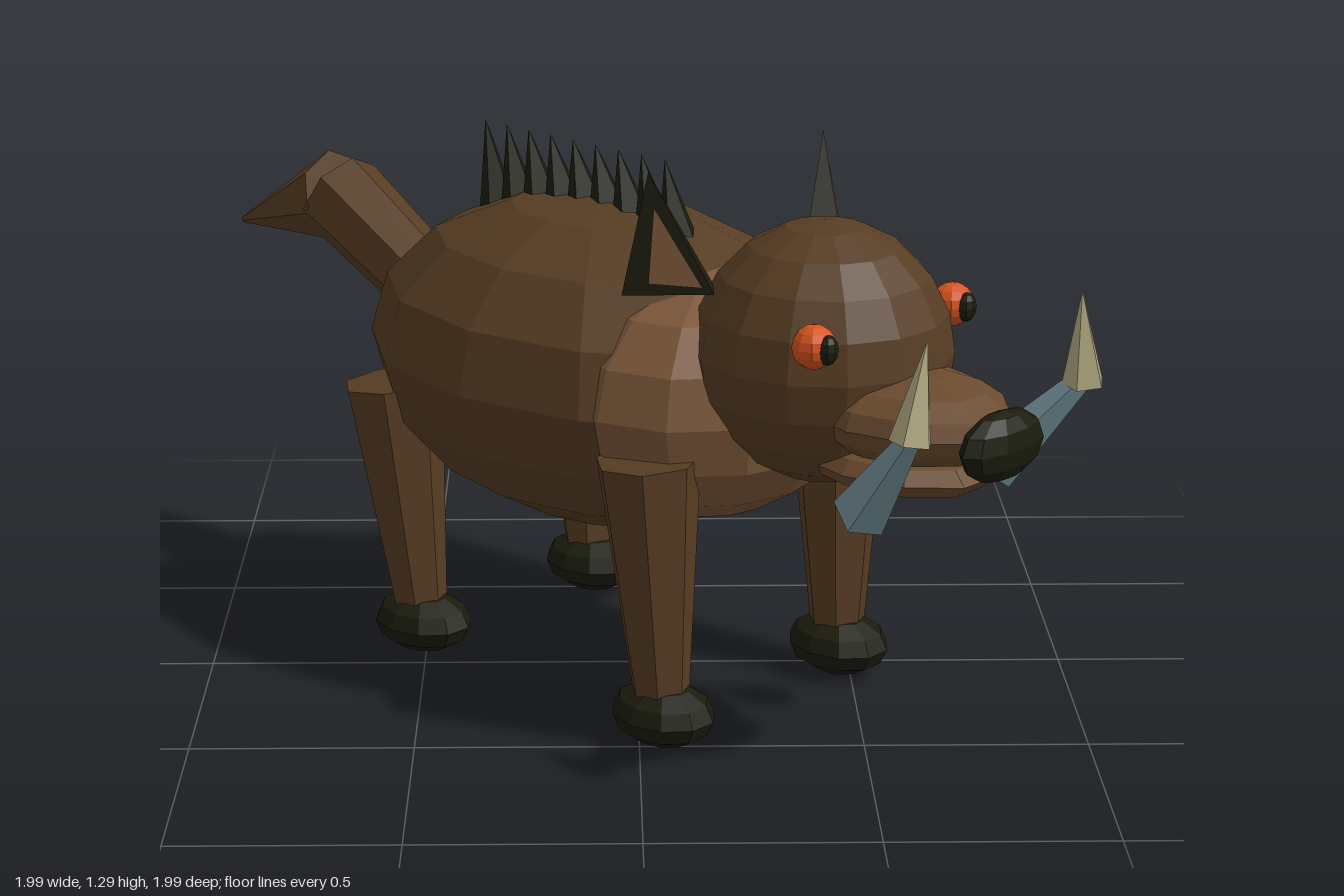
import * as THREE from 'three';

const mat = (name, color, side = THREE.FrontSide) => {
  const m = new THREE.MeshStandardMaterial({ color, flatShading: true, side });
  m.name = name;
  return m;
};
const M = {
  hide: mat('brown hide', 0x573d23),
  snout: mat('snout brown', 0x6b4b2e),
  pale: mat('pale brown', 0x7c583a, THREE.DoubleSide),
  dark: mat('dark bristle', 0x1b1c0d, THREE.DoubleSide),
  eye: mat('orange eye', 0xd9531f),
  tusk: mat('blue grey tusk', 0x7897a0),
  tip: mat('ivory tip', 0xb5ad84),
};

export function createModel() {
  const root = new THREE.Group();
  const boar = new THREE.Group();
  boar.name = 'boar';
  boar.rotation.y = Math.PI / 4; // the animal looks diagonally
  root.add(boar);

  const add = (name, geo, material) => {
    const mesh = new THREE.Mesh(geo, material);
    mesh.name = name;
    boar.add(mesh);
    return mesh;
  };
  // Faceted ellipsoid
  const blob = (name, material, pos, radii, w = 12, h = 8) => {
    const mesh = add(name, new THREE.SphereGeometry(1, w, h), material);
    mesh.position.set(...pos);
    mesh.scale.set(...radii);
    return mesh;
  };
  // Tapered prism from point a to point b
  const limb = (name, material, a, b, ra, rb, sides = 7) => {
    const p = new THREE.Vector3(...a), q = new THREE.Vector3(...b);
    const dir = q.clone().sub(p);
    const mesh = add(name, new THREE.CylinderGeometry(rb, ra, dir.length(), sides), material);
    mesh.position.copy(p).add(q).multiplyScalar(0.5);
    mesh.quaternion.setFromUnitVectors(new THREE.Vector3(0, 1, 0), dir.normalize());
    return mesh;
  };
  const faces = (points, index) => {
    const g = new THREE.BufferGeometry();
    g.setAttribute('position', new THREE.Float32BufferAttribute(points.flat(), 3));
    g.setIndex(index);
    const flat = g.toNonIndexed();
    flat.computeVertexNormals();
    return flat;
  };

  // Trunk and head
  blob('body', M.hide, [0, 0.745, -0.11], [0.455, 0.38, 0.635], 12, 8);
  blob('chest', M.pale, [0, 0.75, 0.25], [0.38, 0.29, 0.32], 12, 8);
  blob('head', M.hide, [0, 0.9, 0.566], [0.285, 0.29, 0.285], 14, 10);
  blob('snout', M.snout, [0, 0.81, 0.8], [0.195, 0.1, 0.27], 10, 8);
  blob('jaw', M.snout, [0, 0.7, 0.77], [0.17, 0.06, 0.25], 10, 6);
  blob('nose', M.dark, [0, 0.795, 1.06], [0.13, 0.077, 0.05], 10, 6);

  // Tail
  limb('tailBase', M.hide, [0, 0.73, -0.58], [0, 0.97, -1.03], 0.09, 0.112, 7);
  limb('tailTip', M.hide, [0, 0.965, -1.03], [0, 0.835, -1.41], 0.115, 0.008, 7);

  // Bristles along the spine, leaning back
  for (let i = 0; i < 9; i++) {
    const z = -0.45 + i * 0.073;
    const base = 0.745 + 0.38 * Math.sqrt(1 - ((z + 0.11) / 0.635) ** 2) - 0.04;
    limb('bristle', M.dark, [0, base, z], [0, 1.24, z - 0.045], 0.05, 0.001, 5);
  }

  for (const s of [-1, 1]) {
    const side = s > 0 ? 'left' : 'right';

    // Legs and hooves
    limb(side + 'FrontLeg', M.hide, [s * 0.297, 0.08, 0.368], [s * 0.315, 0.67, 0.34], 0.06, 0.118);
    limb(side + 'HindLeg', M.hide, [s * 0.285, 0.08, -0.436], [s * 0.315, 0.67, -0.49], 0.06, 0.118);
    blob(side + 'FrontHoof', M.dark, [s * 0.297, 0.08, 0.372], [0.105, 0.071, 0.128], 10, 6);
    blob(side + 'HindHoof', M.dark, [s * 0.285, 0.08, -0.432], [0.105, 0.071, 0.128], 10, 6);

    // Eyes
    blob(side + 'Eye', M.eye, [s * 0.228, 0.99, 0.737], [0.048, 0.048, 0.048], 10, 8);
    blob(side + 'Pupil', M.dark, [s * 0.228, 0.99, 0.776], [0.025, 0.033, 0.02], 8, 6);

    // Tusks
    limb(side + 'Tusk', M.tusk, [s * 0.219, 0.655, 0.87], [s * 0.288, 0.88, 1.055], 0.064, 0.024, 5);
    limb(side + 'TuskTip', M.tip, [s * 0.288, 0.865, 1.053], [s * 0.257, 1.075, 1.062], 0.047, 0.001, 5);

    // Ears: dark pyramid with a pale inset facing forward and outward
    const outer = [s * 0.33, 1.03, 0.276], back = [s * 0.148, 1.04, 0.375];
    const front = [s * 0.212, 1.04, 0.438], top = [s * 0.283, 1.3, 0.31];
    add(side + 'Ear', faces([outer, front, back, top],
      s < 0 ? [0, 1, 3, 1, 2, 3, 2, 0, 3, 0, 2, 1] : [1, 0, 3, 2, 1, 3, 0, 2, 3, 2, 0, 1]), M.dark);
    const inset = [[0.64, 0.26, 0.1], [0.08, 0.86, 0.06], [0.14, 0.14, 0.72]].map(w =>
      [0, 1, 2].map(k => w[0] * outer[k] + w[1] * front[k] + w[2] * top[k] + [s * 0.005, 0, 0.005][k]));
    add(side + 'InnerEar', faces(inset, s < 0 ? [0, 1, 2] : [1, 0, 2]), M.pale);
  }
  return root;
}
